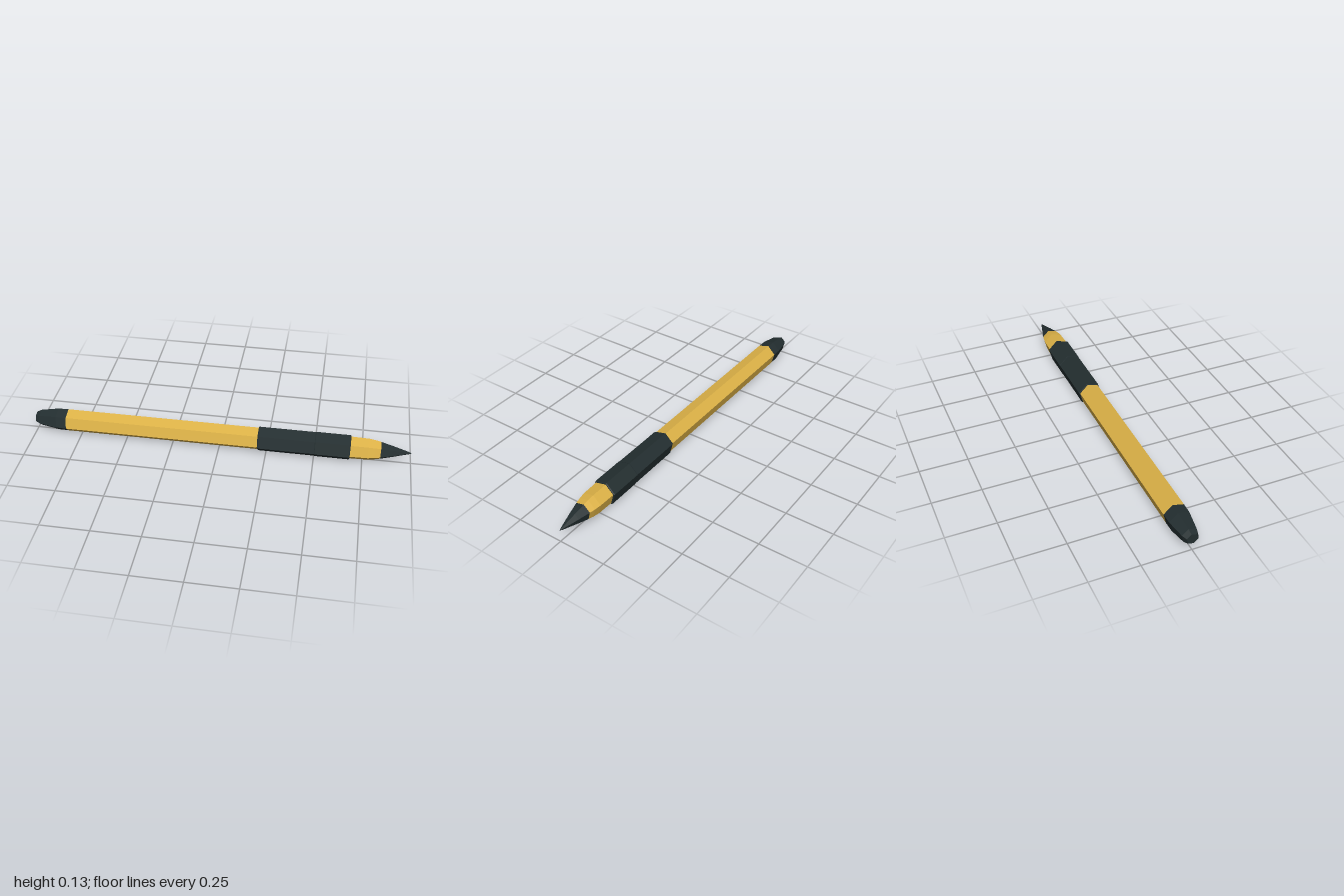
import * as THREE from 'three';

const AXIS_Y = 0.066;

// Six-sided part lying along x, from [x, radius] pairs in rising x.
function hexPart(name, profile, material) {
  const points = profile.map(([x, r]) => new THREE.Vector2(r, x));
  const geometry = new THREE.LatheGeometry(points, 6, THREE.MathUtils.degToRad(15))
    .rotateZ(-Math.PI / 2)
    .toNonIndexed();
  geometry.computeVertexNormals(); // one normal per facet
  const mesh = new THREE.Mesh(geometry, material);
  mesh.name = name;
  mesh.position.y = AXIS_Y;
  return mesh;
}

export function createModel() {
  const gold = new THREE.MeshStandardMaterial({ color: 0xdeb347 });
  gold.name = 'gold';
  const dark = new THREE.MeshStandardMaterial({ color: 0x232e30 });
  dark.name = 'darkSlate';

  const group = new THREE.Group();
  group.name = 'pen';
  group.add(
    // blunt end, tapering to the rounded back
    hexPart('endCap', [[-1, 0], [-1, 0.03], [-0.975, 0.043], [-0.88, 0.06], [-0.825, 0.061]], dark),
    // long barrel, running under the grip
    hexPart('barrel', [[-0.825, 0.061], [0.69, 0.061]], gold),
    // grip sleeve with a slightly raised front half
    hexPart('grip', [[0.205, 0.06], [0.205, 0.064], [0.21, 0.0668], [0.52, 0.0668]], dark),
    hexPart('gripFront', [[0.5, 0.066], [0.505, 0.0683], [0.68, 0.0683], [0.685, 0.066], [0.685, 0.058]], dark),
    // tapered collar and writing point
    hexPart('collar', [[0.685, 0.061], [0.775, 0.059], [0.81, 0.054], [0.84, 0.047]], gold),
    hexPart('tip', [[0.84, 0.047], [0.9, 0.031], [0.985, 0.006], [1, 0]], dark),
  );
  return group;
}
